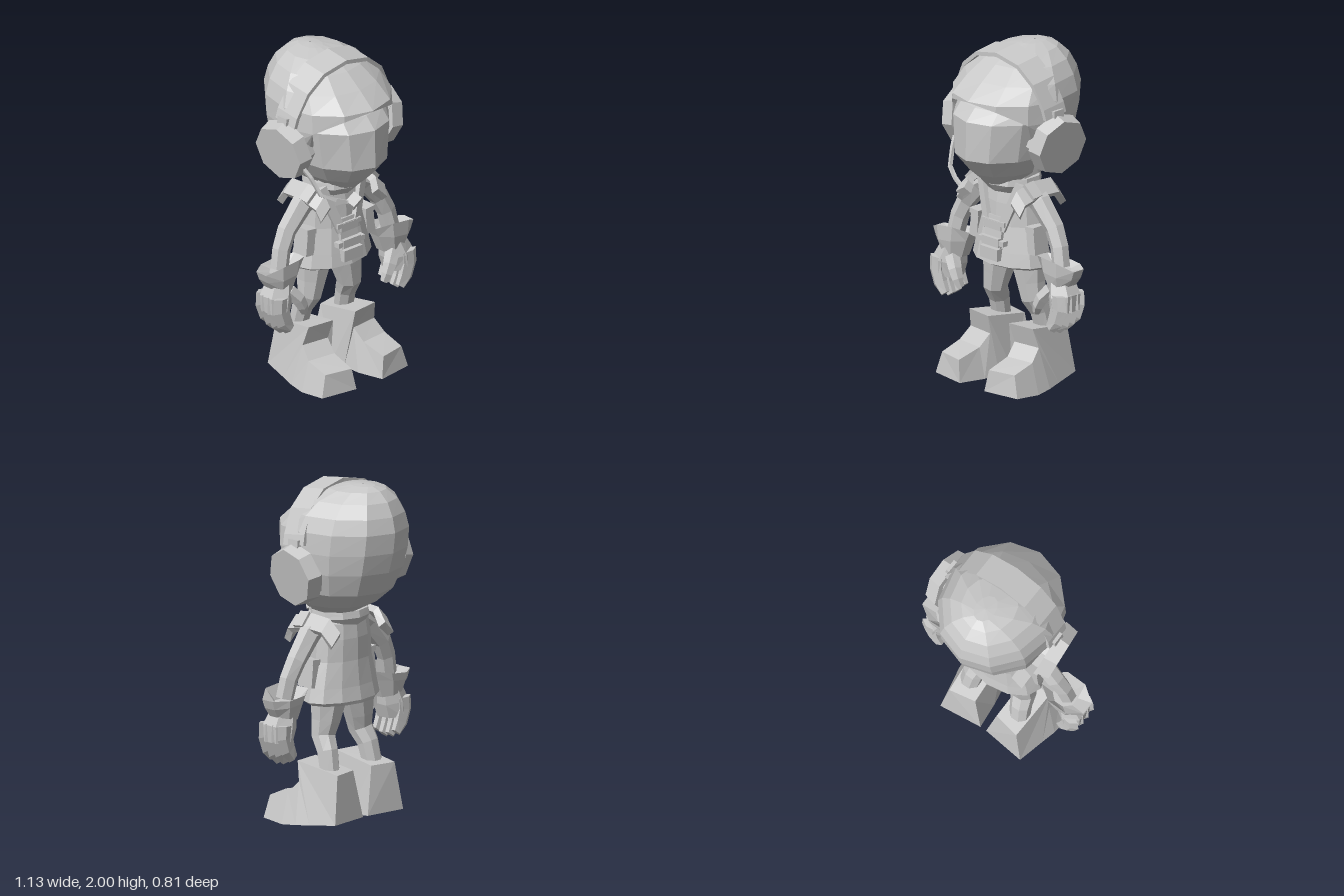
import * as THREE from 'three';

const suit = new THREE.MeshStandardMaterial({ color: 0xc8c8c8, flatShading: true, side: THREE.DoubleSide });
suit.name = 'plain grey';

function mesh(parent, name, geo) {
  const g = geo.index ? geo.toNonIndexed() : geo;
  g.computeVertexNormals();
  const m = new THREE.Mesh(g, suit);
  m.name = name;
  parent.add(m);
  return m;
}

// Skin a list of closed rings (each a list of [x, y, z]), with optional end caps
function loft(rings, capped = true) {
  const n = rings[0].length, pos = rings.flat(2), idx = [];
  for (let r = 0; r < rings.length - 1; r++)
    for (let i = 0; i < n; i++) {
      const a = r * n + i, b = r * n + (i + 1) % n;
      idx.push(a, b, b + n, a, b + n, a + n);
    }
  if (capped) {
    const top = (rings.length - 1) * n;
    for (let i = 1; i < n - 1; i++) idx.push(0, i + 1, i, top, top + i, top + i + 1);
  }
  const g = new THREE.BufferGeometry();
  g.setAttribute('position', new THREE.Float32BufferAttribute(pos, 3));
  g.setIndex(idx);
  return g;
}

// Horizontal rings from rows [y, zFront, zBack, halfWidth, zCentre]; rim(k) lifts the lower edge
function shell(rows, n, capped = true, rim = () => 0) {
  const at = y => {
    let i = 0;
    while (i < rows.length - 2 && rows[i + 1][0] < y) i++;
    const a = rows[i], b = rows[i + 1], t = (y - a[0]) / (b[0] - a[0]);
    return a.map((v, j) => v + (b[j] - v) * t);
  };
  return loft(rows.map(row => Array.from({ length: n }, (_, k) => {
    const [y, zf, zb, w, c] = at(Math.max(row[0], rim(Math.min(k, n - k))));
    const a = k / n * Math.PI * 2, ca = Math.cos(a);
    return [w * Math.sin(a), y, c + (ca > 0 ? zf - c : c - zb) * ca];
  })), capped);
}

// Limb along points [x, y, z, radiusAcross, radiusInZ]
function limb(pts, sides = 6) {
  const P = pts.map(p => new THREE.Vector3(p[0], p[1], p[2])), Z = new THREE.Vector3(0, 0, 1);
  return loft(pts.map((p, i) => {
    const t = P[Math.min(i + 1, P.length - 1)].clone().sub(P[Math.max(i - 1, 0)]).normalize();
    const u = t.clone().cross(Z).normalize(), v = t.clone().cross(u);
    return Array.from({ length: sides }, (_, k) => {
      const a = (k + 0.5) / sides * Math.PI * 2;
      return P[i].clone().addScaledVector(u, Math.cos(a) * p[3])
        .addScaledVector(v, Math.sin(a) * (p[4] ?? p[3])).toArray();
    });
  }));
}

function box(parent, name, size, at, rot = [0, 0, 0]) {
  const m = mesh(parent, name, new THREE.BoxGeometry(...size));
  m.position.set(...at);
  m.rotation.set(...rot);
}

function buildHead(head) {
  // Visor set back under the helmet brim
  mesh(head, 'visor', shell([
    [1.21, .23, 0, .10, .08], [1.28, .31, -.12, .19, .05], [1.39, .405, -.25, .27, .03],
    [1.62, .40, -.33, .31, .03], [1.69, .33, -.33, .30, .03], [1.80, .15, -.2, .2, 0]], 12));
  const brim = [1.735, 1.705, 1.625];
  mesh(head, 'helmet', shell([
    [1.22, .2, -.06, .12, .05], [1.28, .29, -.18, .22, .04], [1.37, .37, -.29, .295, .03],
    [1.50, .40, -.355, .34, .03], [1.62, .39, -.39, .355, .03], [1.74, .385, -.405, .35, .02],
    [1.83, .275, -.385, .315, 0], [1.91, .165, -.345, .25, -.04], [1.965, .06, -.285, .16, -.1],
    [1.985, -.06, -.23, .06, -.15], [1.99, -.145, -.155, .005, -.15]], 12, false, k => brim[k] ?? 0));
  // Headband arching over the helmet: [x, y, zCentre]
  const arc = [[.37, 1.66, .045], [.355, 1.72, .05], [.285, 1.86, .065], [.17, 1.955, .075], [0, 1.99, .08]];
  const path = [...arc, ...arc.slice(0, 4).reverse().map(([x, y, z]) => [-x, y, z])];
  mesh(head, 'headband', loft(path.map(([x, y, z]) => {
    const ix = x * .94, iy = y - .025 * (y - 1.6) / .4;
    return [[x, y - .01, z + .08], [x, y + .01, z - .08], [ix, iy + .01, z - .08], [ix, iy - .01, z + .08]];
  })));
  // Boom microphone on the right side
  mesh(head, 'microphoneBoom', limb([[-.33, 1.40, .16, .014], [-.31, 1.35, .2, .014],
    [-.28, 1.25, .25, .014], [-.2, 1.21, .29, .014], [-.1, 1.17, .32, .014]], 4));
  box(head, 'microphone', [.075, .05, .06], [-.09, 1.18, .32], [.5, .3, .45]);
}

function buildEar(side) {
  const tilt = new THREE.Vector3(.97, -.18, .09).normalize();
  for (const [name, r, base, depth, x] of [['earCup', .17, .185, .085, .372], ['earPad', .15, .15, .09, .315]]) {
    const m = mesh(side, name, new THREE.CylinderGeometry(r, base, depth, 8));
    m.position.set(x, 1.487, .03);
    m.quaternion.setFromUnitVectors(new THREE.Vector3(0, 1, 0), tilt);
  }
  box(side, 'bandClip', [.03, .09, .075], [.372, 1.65, .035], [0, 0, .1]);
}

function buildTorso(torso) {
  mesh(torso, 'jacket', shell([
    [.70, .17, -.135, .24, .02], [.72, .21, -.14, .268, .02], [.80, .195, -.125, .25, .02],
    [.95, .165, -.11, .21, .02], [1.08, .155, -.11, .2, .02], [1.17, .14, -.10, .185, .02],
    [1.22, .1, -.08, .11, .02]], 12));
  mesh(torso, 'neck', new THREE.CylinderGeometry(.085, .1, .16, 8).translate(0, 1.22, .03));
  mesh(torso, 'collar', shell([
    [1.15, .17, -.1, .14, .02], [1.2, .21, -.13, .185, .03], [1.24, .2, -.12, .18, .03],
    [1.22, .14, -.08, .12, .03]], 10));
  // Front fastenings
  box(torso, 'upperBuckle', [.13, .05, .05], [0, .95, .165]);
  box(torso, 'upperStrap', [.18, .028, .045], [0, .965, .165]);
  box(torso, 'middleStrap', [.2, .03, .04], [0, .855, .185]);
  box(torso, 'middleBuckle', [.13, .05, .05], [0, .855, .185]);
  box(torso, 'frontPanel', [.13, .2, .03], [0, .9, .168], [-.12, 0, 0]);
  box(torso, 'lowerPouch', [.14, .07, .05], [0, .785, .195]);
}

function buildShoulder(side) {
  box(side, 'lapel', [.055, .31, .03], [.105, 1.07, .145], [-.08, .25, -.36]);
  // Strap bent over the shoulder from chest to back
  const bend = [[.215, 1.10, .225], [.225, 1.165, .19], [.23, 1.195, .06], [.23, 1.185, -.08], [.215, 1.11, -.15]];
  mesh(side, 'shoulderStrap', loft(bend.map(([x, y, z]) => {
    const zi = .04 + (z - .04) * .86;
    return [[x - .03, y + .035, z], [x + .04, y - .035, z], [x + .02, y - .06, zi], [x - .055, y + .005, zi]];
  })));
  box(side, 'strapLoop', [.1, .03, .07], [.235, 1.19, .1], [.1, 0, -.8]);
  box(side, 'hipPouch', [.06, .16, .11], [.228, .885, .055], [0, 0, .1]);
  box(side, 'pouchFlap', [.07, .03, .12], [.225, .955, .055], [0, 0, .1]);
}

function buildArm(side) {
  mesh(side, 'arm', limb([[.17, 1.15, .04, .075, .065], [.24, 1.11, .045, .07, .06],
    [.35, .98, .04, .06, .055], [.40, .88, .05, .058, .05], [.425, .77, .06, .055, .05]]));
  // Flared cuff, hollow at the wide end: [x, y, radiusX, radiusZ, tilt, scallop]
  const wave = [0, 1, 1, 0, 0, -.3, -.3, 0];
  const cuff = [[.41, .75, .07, .07, 0, 0], [.42, .795, .15, .105, -.1, .035],
    [.425, .74, .125, .1, -.1, 0], [.43, .66, .085, .08, .2, 0]];
  mesh(side, 'gloveCuff', loft(cuff.map(([x, y, rx, rz, tilt, s]) => wave.map((w, k) => {
    const a = (k + .5) / 8 * Math.PI * 2, c = Math.cos(a) * rx * 1.06;
    return [x + c, y + c * tilt + w * s, .06 + Math.sin(a) * rz];
  }))));
  mesh(side, 'palm', limb([[.43, .69, .065, .08, .08], [.455, .61, .07, .1, .1], [.465, .52, .07, .08, .095]]));
  for (let i = 0; i < 4; i++) {
    const z = .145 - i * .05, drop = [0, .015, .01, -.01][i];
    mesh(side, 'finger', limb([[.485, .63, z, .06, .028], [.49, .55 - drop, z, .06, .028],
      [.465, .475 - drop, z, .055, .026], [.425, .42 - drop, z, .035, .022]], 5));
  }
  mesh(side, 'thumb', limb([[.40, .64, .11, .045], [.35, .58, .14, .04], [.325, .53, .145, .034],
    [.305, .485, .14, .022]], 5));
}

function buildLeg(side) {
  mesh(side, 'leg', limb([[.11, .78, .01, .11, .11], [.118, .70, .01, .115, .10], [.135, .60, .012, .092, .085],
    [.152, .51, .015, .076, .07], [.165, .43, -.03, .066, .062], [.175, .3, -.06, .062, .055]], 8));
  // Splayed boot stations: [zTop, yTop, xTop, halfTop, zBottom, yBottom, xBottom, halfBottom, skew]
  const boot = [[-.16, .32, .155, .08, -.185, .04, .15, .13, .015], [.13, .365, .17, .085, -.02, .02, .177, .138, .01],
    [.10, .25, .187, .088, .07, .01, .195, .14, .01], [.17, .18, .203, .09, .17, 0, .207, .137, .01],
    [.32, .14, .207, .085, .335, .01, .214, .115, .018]];
  mesh(side, 'boot', loft(boot.map(([zt, yt, xt, ht, zb, yb, xb, hb, s]) =>
    [[xb - hb, yb, zb + s], [xb + hb, yb, zb - s], [xt + ht, yt, zt - s], [xt - ht, yt, zt + s]])));
}

export function createModel() {
  const model = new THREE.Group();
  model.name = 'helmetedFigure';
  const add = (name, build) => {
    const g = new THREE.Group();
    g.name = name;
    build(g);
    model.add(g);
    return g;
  };
  add('head', buildHead);
  add('torso', buildTorso);
  for (const s of [1, -1]) {
    const label = s > 0 ? 'left' : 'right';
    for (const [part, build] of [['Ear', buildEar], ['Shoulder', buildShoulder], ['Arm', buildArm], ['Leg', buildLeg]])
      add(label + part, build).scale.x = s;
  }
  return model;
}
